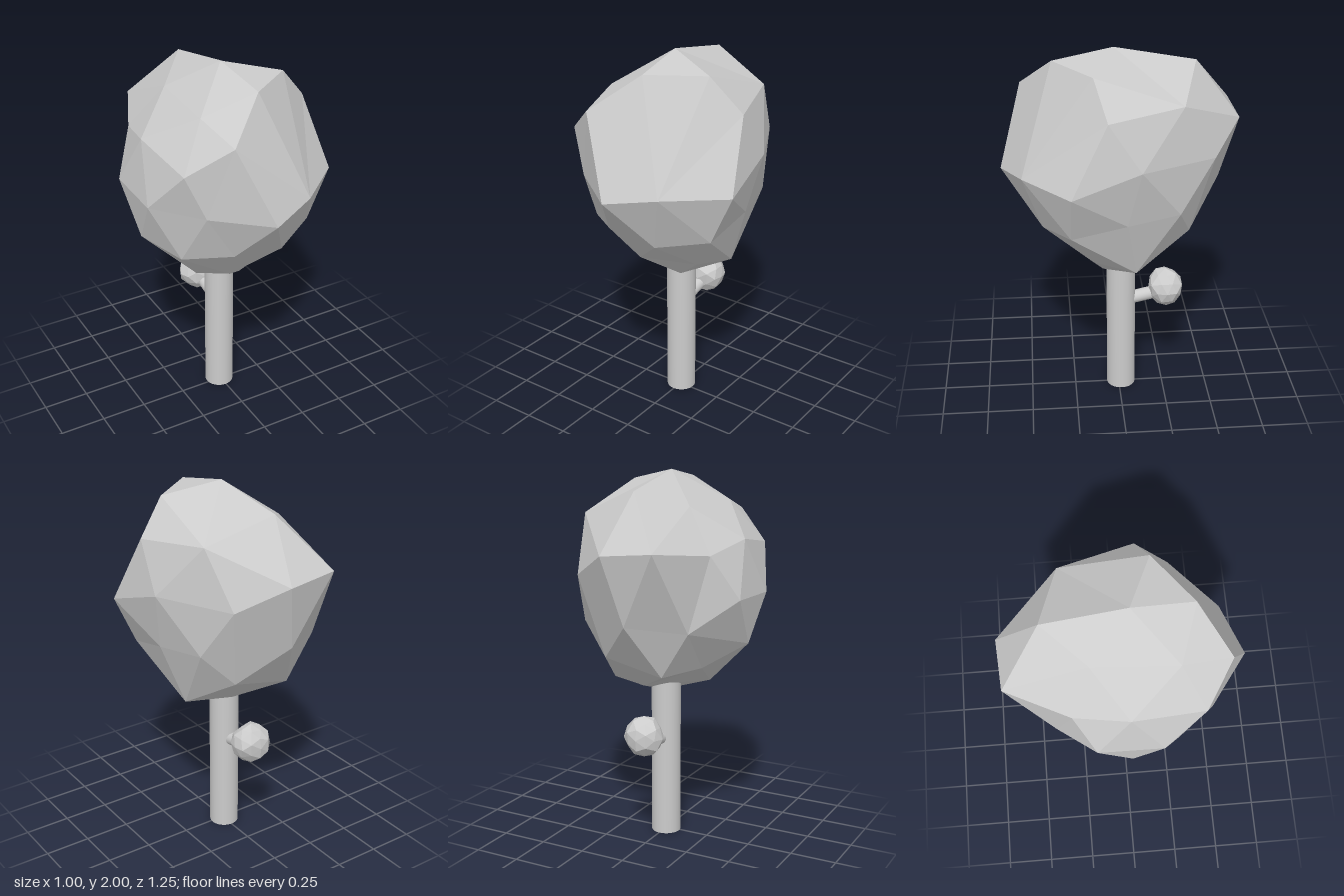
import * as THREE from 'three';
import { ConvexGeometry } from 'three/addons/geometries/ConvexGeometry.js';

const smooth = new THREE.MeshStandardMaterial({ color: 0xcccccc });
const faceted = new THREE.MeshStandardMaterial({ color: 0xcccccc, flatShading: true });

function part(name, geometry, material) {
  const mesh = new THREE.Mesh(geometry, material);
  mesh.name = name;
  return mesh;
}

// Corners of the irregular crown, from its top to its underside
const crownCorners = [
  [-0.015, 2, 0.025], [0.015, 1.945, 0.34], [0.275, 1.935, 0.145], [-0.03, 1.92, -0.4],
  [-0.225, 1.835, -0.18], [-0.25, 1.83, 0.25], [0.315, 1.79, -0.3], [-0.205, 1.765, 0.505],
  [0.435, 1.755, 0.085], [-0.45, 1.665, 0], [-0.24, 1.65, -0.605], [0.035, 1.625, -0.625],
  [-0.39, 1.61, -0.28], [-0.405, 1.605, 0.37], [0.46, 1.505, -0.08], [0.26, 1.495, -0.47],
  [0.225, 1.395, 0.51], [0.5, 1.39, 0.27], [-0.505, 1.38, -0.17], [-0.31, 1.375, 0.42],
  [-0.505, 1.37, 0.165], [-0.03, 1.355, 0.62], [-0.045, 1.265, -0.54], [-0.315, 1.225, -0.37],
  [0.335, 1.22, -0.29], [0.4, 1.195, -0.015], [-0.475, 1.12, 0.01], [0.375, 1.12, 0.27],
  [-0.155, 1.12, 0.42], [0.13, 1.08, 0.41], [-0.37, 1.08, 0.257], [0.17, 1.05, -0.36],
  [-0.285, 1, -0.15], [-0.16, 0.98, -0.36], [-0.085, 0.9, 0.25], [0.21, 0.9, 0.15],
  [-0.21, 0.865, 0.107], [0.285, 0.865, -0.07], [0.05, 0.865, -0.165], [0.065, 0.78, 0.09],
];

// Join the corners on a unit sphere, then move each to its place, so dents survive
function crownGeometry() {
  const corners = crownCorners.map((c) => new THREE.Vector3(...c));
  const directions = corners.map((c) =>
    new THREE.Vector3(c.x / 0.5, (c.y - 1.4) / 0.6, c.z / 0.62).normalize());
  const geometry = new ConvexGeometry(directions);
  const pos = geometry.attributes.position;
  const v = new THREE.Vector3();
  for (let i = 0; i < pos.count; i++) {
    v.fromBufferAttribute(pos, i);
    let best = 0;
    directions.forEach((d, k) => { if (d.dot(v) > directions[best].dot(v)) best = k; });
    pos.setXYZ(i, ...corners[best].toArray());
  }
  geometry.computeVertexNormals();
  return geometry;
}

// Small ball of leaves: a sphere with gently uneven corners
function tuftGeometry(radius) {
  const geometry = new THREE.IcosahedronGeometry(radius, 1);
  const pos = geometry.attributes.position;
  const v = new THREE.Vector3();
  for (let i = 0; i < pos.count; i++) {
    v.fromBufferAttribute(pos, i);
    const n = v.clone().divideScalar(radius);
    v.multiplyScalar(0.97 + 0.07 * Math.sin(5 * n.x + 3 * n.y + 1) * Math.cos(4 * n.z - 2 * n.y));
    pos.setXYZ(i, v.x, v.y, v.z);
  }
  geometry.computeVertexNormals();
  return geometry;
}

export function createModel() {
  const tree = new THREE.Group();
  tree.name = 'tree';

  const trunk = part('trunk', new THREE.CylinderGeometry(0.08, 0.08, 1, 32), smooth);
  trunk.position.set(-0.003, 0.5, -0.013);
  tree.add(trunk);

  tree.add(part('crown', crownGeometry(), faceted));

  // Side shoot at the back, rising slightly
  const from = new THREE.Vector3(-0.003, 0.545, -0.03);
  const to = new THREE.Vector3(-0.003, 0.595, -0.25);
  const along = to.clone().sub(from);
  const branch = part('branch', new THREE.CylinderGeometry(0.036, 0.036, along.length(), 24), smooth);
  branch.position.copy(from).add(to).multiplyScalar(0.5);
  branch.quaternion.setFromUnitVectors(new THREE.Vector3(0, 1, 0), along.normalize());
  tree.add(branch);

  const tuft = part('branchLeaves', tuftGeometry(0.11), faceted);
  tuft.position.set(-0.003, 0.617, -0.263);
  tuft.scale.set(1, 1.03, 0.93);
  tree.add(tuft);

  return tree;
}
